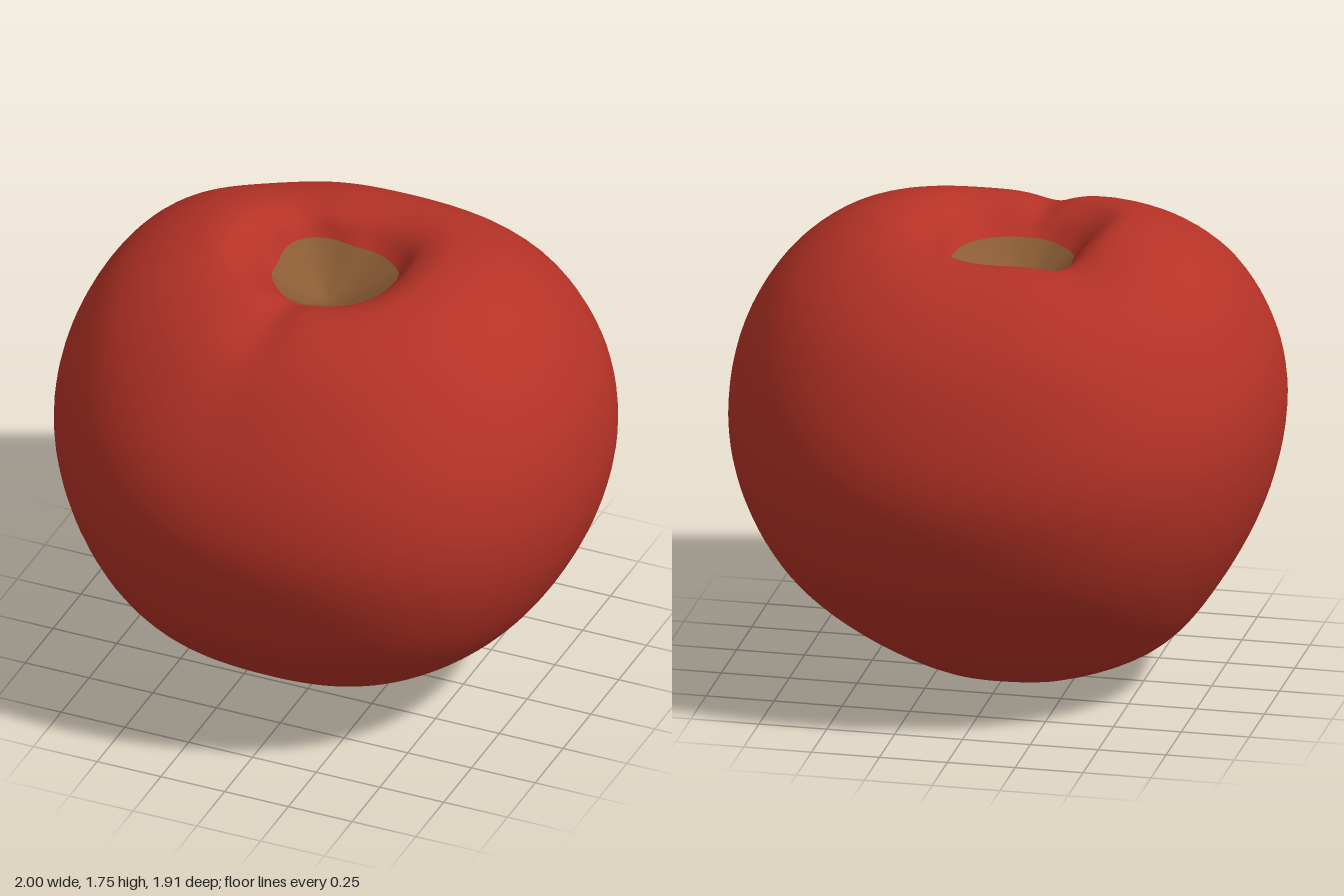
import * as THREE from 'three';
import { mergeVertices } from 'three/addons/utils/BufferGeometryUtils.js';

const SEGMENTS = 96, ROWS = 64;

// Half cross-sections [radius, height] from the hollow's edge down to the base,
// at the left (+x), front (+z), right (-x) and back (-z)
const PROFILES = [
  [[.19, 1.59], [.28, 1.70], [.4, 1.745], [.6, 1.70], [.8, 1.55], [.95, 1.3], [1, 1], [.95, .72], [.8, .44], [.6, .25], [.3, .08], [0, 0]],
  [[.19, 1.59], [.28, 1.66], [.4, 1.685], [.62, 1.58], [.8, 1.37], [.91, 1.16], [.95, .95], [.91, .72], [.8, .47], [.57, .24], [.27, .07], [0, 0]],
  [[.24, 1.59], [.32, 1.69], [.41, 1.745], [.6, 1.71], [.8, 1.58], [.95, 1.33], [1, 1.07], [.95, .75], [.8, .43], [.6, .18], [.3, .04], [0, 0]],
  [[.24, 1.59], [.32, 1.66], [.42, 1.68], [.58, 1.63], [.79, 1.44], [.92, 1.16], [.955, .95], [.92, .74], [.83, .53], [.62, .29], [.28, .06], [0, 0]],
];
// Radius of the brown patch every 45 degrees, starting at +x
const PATCH_EDGE = [.19, .185, .19, .21, .24, .31, .24, .235];
// Shallow furrows running out from the hollow: angle, width, depth
const FURROWS = [[1.75, .2, .03], [3.93, .35, .05]];
const FURROW_FADE = [0, .7, 1, .7, .4, .15];

// Smooth blend around a closed ring of values
function around(values, angle) {
  const t = angle / (2 * Math.PI) * values.length;
  const i = Math.floor(t), s = (1 - Math.cos((t - i) * Math.PI)) / 2;
  return THREE.MathUtils.lerp(values[i % values.length], values[(i + 1) % values.length], s);
}

// Smooth curve down the fruit at one angle
function section(angle) {
  const edge = around(PATCH_EDGE, angle);
  const swell = 1 + .02 * (1 - Math.cos(4 * angle));
  const points = PROFILES[0].map((_, k) => {
    let r = around(PROFILES.map(p => p[k][0]), angle) * swell;
    let y = around(PROFILES.map(p => p[k][1]), angle);
    if (k === 0) r = edge;
    if (k === 1) r = Math.max(r, edge + .05);
    if (k === 2) r = Math.max(r, edge + .13);
    for (const [at, width, depth] of FURROWS)
      y -= depth * (FURROW_FADE[k] || 0) * Math.exp(-(((angle - at) / width) ** 2));
    return new THREE.Vector3(r * Math.cos(angle), y, r * Math.sin(angle));
  });
  return new THREE.CatmullRomCurve3(points, false, 'centripetal');
}

// Joins rings of points; position(i, j) gives segment i of ring j
function loft(rows, position) {
  const vertices = [], index = [];
  for (let j = 0; j <= rows; j++)
    for (let i = 0; i < SEGMENTS; i++) vertices.push(...position(i, j).toArray());
  for (let j = 0; j < rows; j++)
    for (let i = 0; i < SEGMENTS; i++) {
      const n = (i + 1) % SEGMENTS;
      const a = j * SEGMENTS + i, b = j * SEGMENTS + n;
      const c = a + SEGMENTS, d = b + SEGMENTS;
      index.push(a, b, c, b, d, c);
    }
  const geometry = new THREE.BufferGeometry();
  geometry.setAttribute('position', new THREE.Float32BufferAttribute(vertices, 3));
  geometry.setIndex(index);
  const merged = mergeVertices(geometry, 1e-5);
  merged.computeVertexNormals();
  return merged;
}

export function createModel() {
  const group = new THREE.Group();
  group.name = 'fruit';
  const red = new THREE.MeshStandardMaterial({ color: 0xb53226 });
  red.name = 'red skin';
  const brown = new THREE.MeshStandardMaterial({ color: 0x8a5c34 });
  brown.name = 'brown hollow';

  const sections = [];
  for (let i = 0; i < SEGMENTS; i++) sections.push(section(i / SEGMENTS * 2 * Math.PI));

  // Skin of the fruit
  const skin = new THREE.Mesh(loft(ROWS, (i, j) => sections[i].getPoint(j / ROWS)), red);
  skin.name = 'skin';

  // Brown floor of the hollow, where the stalk was
  const floor = new THREE.Vector3(-.06, 1.46, -.05);
  const patch = new THREE.Mesh(loft(6, (i, j) => {
    const t = j / 6, p = floor.clone().lerp(sections[i].getPoint(0), t);
    p.y = THREE.MathUtils.lerp(floor.y, 1.59, t ** 1.3);
    return p;
  }), brown);
  patch.name = 'stemHollow';

  group.add(skin, patch);
  return group;
}
